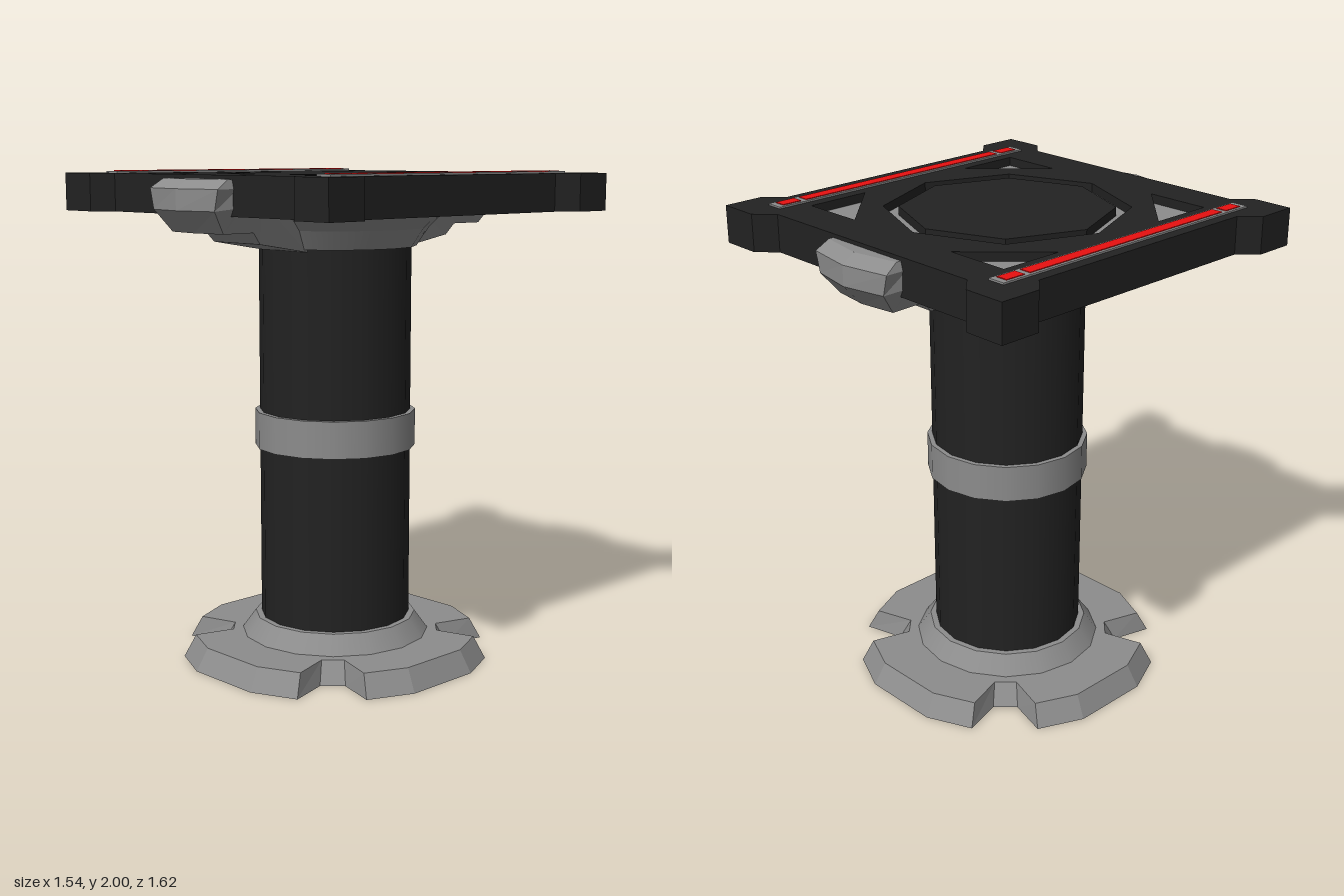
import * as THREE from 'three';

const mat = (color, flat = false) => new THREE.MeshStandardMaterial({ color, flatShading: flat });
const GREY = 0x8c8c8c, BLACK = 0x222222, RED = 0xe81010;

// Closed surface through loops of equal point count, with both ends capped
function loft(loops) {
  const pos = [];
  const tri = (...pts) => pts.forEach((p) => pos.push(p.x, p.y, p.z));
  const n = loops[0].length;
  for (let i = 0; i < loops.length - 1; i++) {
    for (let j = 0; j < n; j++) {
      const k = (j + 1) % n, a = loops[i], b = loops[i + 1];
      tri(a[j], a[k], b[k]);
      tri(a[j], b[k], b[j]);
    }
  }
  [loops[0], loops[loops.length - 1]].forEach((loop, end) => {
    const c = new THREE.Vector3();
    loop.forEach((p) => c.addScaledVector(p, 1 / n));
    loop.forEach((p, j) => {
      const q = loop[(j + 1) % n];
      if (end) tri(c, p, q); else tri(c, q, p);
    });
  });
  const g = new THREE.BufferGeometry();
  g.setAttribute('position', new THREE.Float32BufferAttribute(pos, 3));
  g.computeVertexNormals();
  return g;
}

const toShape = (pts) => new THREE.Shape(pts.map(([x, y]) => new THREE.Vector2(x, y)));

// Extrude a plan outline upwards between two heights
function slab(shape, y0, y1) {
  const g = new THREE.ExtrudeGeometry(shape, { depth: y1 - y0, bevelEnabled: false });
  return g.rotateX(-Math.PI / 2).translate(0, y0, 0);
}

const octagon = (r) => Array.from({ length: 8 }, (_, i) =>
  [r * Math.cos(i * Math.PI / 4), r * Math.sin(i * Math.PI / 4)]);

export function createModel() {
  const model = new THREE.Group();
  const add = (name, geo, material, parent = model) => {
    const m = new THREE.Mesh(geo, material);
    m.name = name;
    parent.add(m);
    return m;
  };
  const ring = (name, rTop, rBottom, y0, y1, color) => add(name,
    new THREE.CylinderGeometry(rTop, rBottom, y1 - y0, 16).translate(0, (y0 + y1) / 2, 0), mat(color));

  // Column with its band and collars
  ring('column', 0.31, 0.31, 0.005, 1.85, BLACK);
  ring('columnBand', 0.33, 0.33, 0.88, 1.03, GREY);
  ring('baseCollar', 0.335, 0.39, 0.09, 0.165, GREY);
  ring('lowerTopCollar', 0.38, 0.33, 1.7, 1.775, GREY);
  ring('upperTopCollar', 0.45, 0.38, 1.775, 1.845, GREY);

  // Base foot: four bevelled lugs on the axes, notched at the diagonals
  const lug = [[-39, 0.48], [-33, 0.64], [-15, 0.64], [15, 0.64], [33, 0.64], [39, 0.48]];
  const footLoop = (y, inset) => [0, 90, 180, 270].flatMap((turn) => lug.map(([deg, r]) => {
    const a = THREE.MathUtils.degToRad(deg + turn);
    return new THREE.Vector3(Math.sin(a) * (r - inset), y, Math.cos(a) * (r - inset));
  }));
  add('baseFoot', loft([footLoop(0, 0), footLoop(0.09, 0.05)]), mat(GREY, true));

  // Table plate with enlarged corners
  const outline = [];
  const corner = [[0.7, 0.53], [0.77, 0.6], [0.77, 0.77], [0.6, 0.77], [0.53, 0.7]];
  for (let q = 0; q < 4; q++) {
    for (const [x, y] of corner) {
      outline.push([[x, y], [-y, x], [-x, -y], [y, -x]][q]);
    }
  }
  const plate = new THREE.Group();
  plate.name = 'topPlate';
  model.add(plate);
  add('plateBody', slab(toShape(outline), 1.84, 1.95), mat(BLACK), plate);

  // Upper layer cut through by an octagon and four triangles
  const top = toShape(outline);
  top.holes.push(toShape(octagon(0.48)));
  for (const sx of [-1, 1]) {
    for (const sy of [-1, 1]) {
      top.holes.push(toShape([[0.535, 0.535], [0.27, 0.535], [0.535, 0.27]]
        .map(([x, y]) => [x * sx, y * sy])));
    }
  }
  add('plateTop', slab(top, 1.95, 1.99), mat(BLACK), plate);
  add('recessFloor', new THREE.BoxGeometry(1.09, 0.015, 1.09).translate(0, 1.947, 0), mat(GREY), plate);
  add('centrePanel', slab(toShape(octagon(0.42)), 1.95, 1.99), mat(BLACK), plate);

  // Light strips along both sides, each in three lengths
  for (const s of [-1, 1]) {
    const strip = new THREE.Group();
    strip.name = s > 0 ? 'leftLightStrip' : 'rightLightStrip';
    strip.position.x = s * 0.618;
    plate.add(strip);
    add('stripFrame', new THREE.BoxGeometry(0.072, 0.02, 1.3).translate(0, 1.987, 0), mat(GREY), strip);
    for (const [z0, z1] of [[-0.625, -0.54], [-0.515, 0.512], [0.537, 0.622]]) {
      add('light', new THREE.BoxGeometry(0.048, 0.01, z1 - z0).translate(0, 1.995, (z0 + z1) / 2),
        mat(RED), strip);
    }
  }

  // Bracket running under the plate and hooking up over its edge:
  // outer z, y, half width; inner z, y, half width; centre crown
  const stations = [
    [0.28, 1.69, 0.135, 0.28, 1.85, 0.18, 0],
    [0.52, 1.73, 0.135, 0.5, 1.85, 0.18, 0],
    [0.56, 1.775, 0.145, 0.55, 1.85, 0.18, 0],
    [0.71, 1.775, 0.15, 0.66, 1.85, 0.18, 0.02],
    [0.775, 1.86, 0.18, 0.68, 1.87, 0.2, 0.035],
    [0.775, 1.94, 0.2, 0.68, 1.94, 0.2, 0.035],
    [0.72, 1.975, 0.19, 0.68, 1.975, 0.19, 0.035],
  ];
  const bracket = loft(stations.map(([z, y, w, zi, yi, wi, crown]) => [
    new THREE.Vector3(-wi, yi, zi),
    new THREE.Vector3(-w, y, z),
    new THREE.Vector3(0, y, z + crown),
    new THREE.Vector3(w, y, z),
    new THREE.Vector3(wi, yi, zi),
  ]));
  add('frontBracket', bracket, mat(GREY, true));
  add('backBracket', bracket, mat(GREY, true)).rotation.y = Math.PI;

  return model;
}
